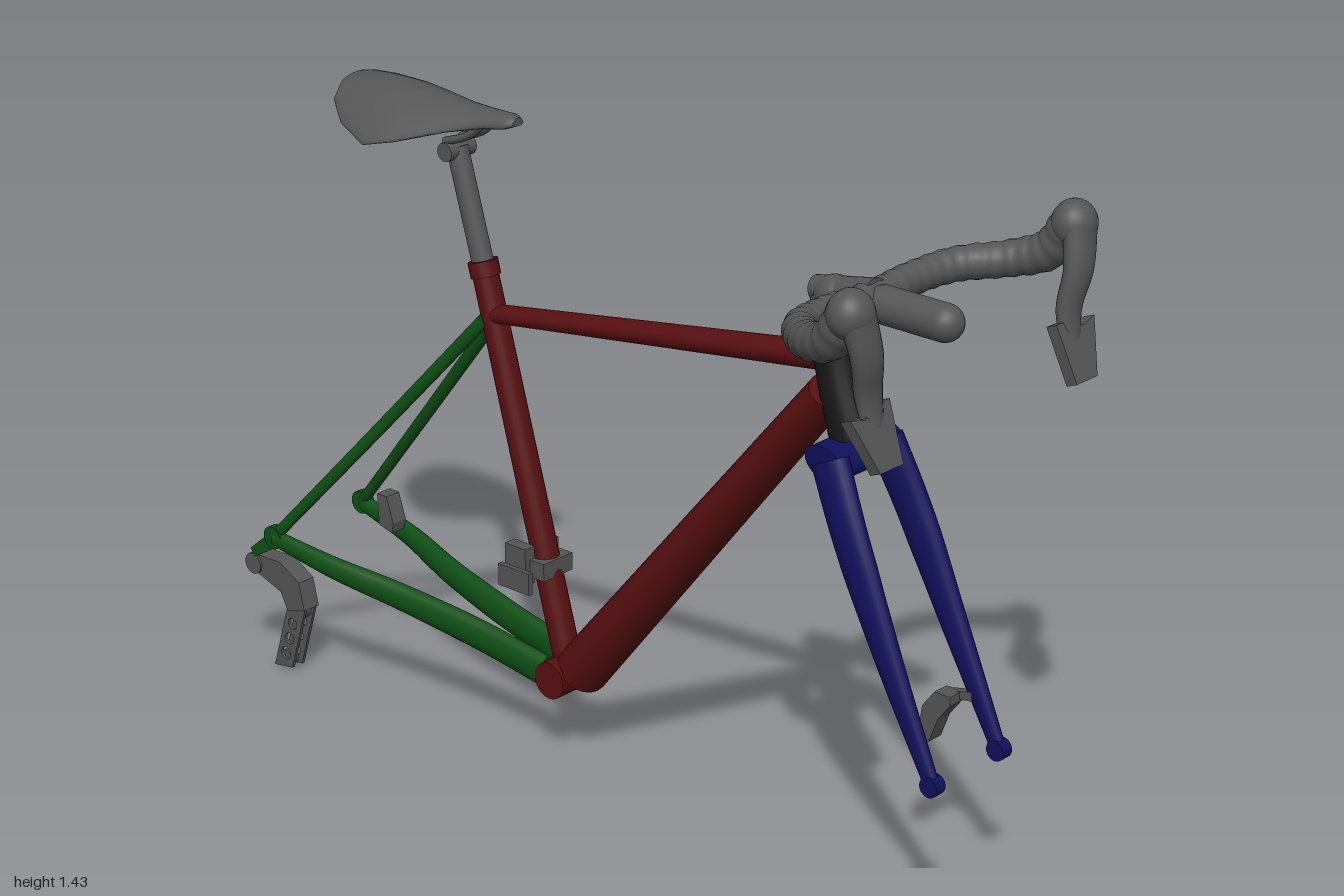
import * as THREE from 'three';

const mat = (name, color) => Object.assign(new THREE.MeshStandardMaterial({ color }), { name });
const V = (p) => new THREE.Vector3(...p);

// Closed solid through a list of rings, each running anticlockwise around the direction of travel
function loft(rings) {
  const n = rings[0].length, pos = [], idx = [];
  const add = (p) => pos.push(p.x, p.y, p.z);
  rings.forEach((r) => r.forEach(add));
  for (let i = 0; i < rings.length - 1; i++) {
    for (let j = 0; j < n; j++) {
      const a = i * n + j, b = i * n + (j + 1) % n;
      idx.push(a, b, a + n, b, b + n, a + n);
    }
  }
  [[rings[0], true], [rings[rings.length - 1], false]].forEach(([ring, start]) => {
    const base = pos.length / 3, c = new THREE.Vector3();
    ring.forEach((p) => { add(p); c.addScaledVector(p, 1 / n); });
    add(c);
    for (let j = 0; j < n; j++) {
      const a = base + j, b = base + (j + 1) % n;
      if (start) idx.push(base + n, b, a); else idx.push(base + n, a, b);
    }
  });
  const g = new THREE.BufferGeometry();
  g.setAttribute('position', new THREE.Float32BufferAttribute(pos, 3));
  g.setIndex(idx);
  g.computeVertexNormals();
  return g;
}

// Tapered oval tube along a curve; radii are [sideways, other way] at even steps
function sweep(points, radii, { ref = [1, 0, 0], steps = 24, sides = 20, ripple = 0 } = {}) {
  const curve = new THREE.CatmullRomCurve3(points.map(V));
  const rings = [];
  for (let i = 0; i <= steps; i++) {
    const u = i / steps, f = u * (radii.length - 1), k = Math.min(Math.floor(f), radii.length - 2);
    const wave = 1 + ripple * Math.sin(i * Math.PI / 2);
    const r = [0, 1].map((m) => THREE.MathUtils.lerp(radii[k][m], radii[k + 1][m], f - k) * wave);
    const c = curve.getPointAt(u), t = curve.getTangentAt(u);
    const s = V(ref).addScaledVector(t, -V(ref).dot(t)).normalize();
    const o = t.clone().cross(s);
    rings.push(Array.from({ length: sides }, (_, j) => {
      const a = j / sides * Math.PI * 2;
      return c.clone().addScaledVector(s, Math.cos(a) * r[0]).addScaledVector(o, Math.sin(a) * r[1]);
    }));
  }
  return loft(rings);
}

// Flat plate drawn in (z, y), centred on x, with round holes [z, y, radius]
function plate(points, x, thick, holes = []) {
  const shape = new THREE.Shape(points.map((p) => new THREE.Vector2(...p)));
  holes.forEach(([z, y, r]) => shape.holes.push(new THREE.Path().absarc(z, y, r, 0, Math.PI * 2, true)));
  const g = new THREE.ExtrudeGeometry(shape, { depth: thick, bevelEnabled: false, curveSegments: 8 });
  return g.translate(0, 0, -thick / 2).rotateY(-Math.PI / 2).translate(x, 0, 0);
}

const axle = (r, len, x, y, z) =>
  new THREE.CylinderGeometry(r, r, len, 24).rotateZ(Math.PI / 2).translate(x, y, z);
const box = (w, h, d, x, y, z) => new THREE.BoxGeometry(w, h, d).translate(x, y, z);
const ball = (rx, ry, rz, x, y, z) =>
  new THREE.SphereGeometry(1, 24, 16).scale(rx, ry, rz).translate(x, y, z);

export function createModel() {
  const red = mat('frame red', 0x570f11), green = mat('stay green', 0x0f4f15);
  const blue = mat('fork blue', 0x10105c), black = mat('head black', 0x161616);
  const grey = mat('component grey', 0x555555);
  const model = new THREE.Group();
  model.name = 'bicycleFrame';
  const add = (name, geometry, material) => {
    const m = new THREE.Mesh(geometry, material);
    m.name = name;
    model.add(m);
  };

  // Main frame tubes
  add('headTube', sweep([[0, 0.96, 0.66], [0, 1.07, 0.62], [0, 1.175, 0.59]],
    [[0.056, 0.052], [0.05, 0.047], [0.041, 0.043]]), black);
  add('downTube', sweep([[0, 1.04, 0.595], [0, 0.215, -0.075]], [[0.058, 0.042], [0.061, 0.05], [0.062, 0.058]]), red);
  add('topTube', sweep([[0, 1.107, 0.575], [0, 0.97, -0.33]], [[0.033, 0.029], [0.028, 0.02]]), red);
  add('seatTube', sweep([[0, 0.2, -0.11], [0, 1.075, -0.357]], [[0.032, 0.03], [0.03, 0.027]]), red);
  add('seatCollar', sweep([[0, 1.05, -0.35], [0, 1.083, -0.359]], [[0.034, 0.032], [0.034, 0.032]], { steps: 1 }), red);
  add('bottomBracket', axle(0.042, 0.136, 0, 0.2, -0.11), red);

  // Rear triangle and fork legs, mirrored
  for (const s of [-1, 1]) {
    add('chainStay', sweep([[s * 0.045, 0.205, -0.14], [s * 0.055, 0.237, -0.33], [s * 0.085, 0.273, -0.55],
      [s * 0.122, 0.303, -0.72], [s * 0.138, 0.33, -0.887]], [[0.022, 0.038], [0.022, 0.036], [0.02, 0.03], [0.014, 0.02]]), green);
    add('seatStay', sweep([[s * 0.022, 0.96, -0.335], [s * 0.075, 0.67, -0.59], [s * 0.138, 0.335, -0.887]],
      [[0.012, 0.015], [0.012, 0.013]]), green);
    add('rearDropout', axle(0.027, 0.02, s * 0.138, 0.333, -0.887), green);
    add('forkLeg', sweep([[s * 0.085, 0.935, 0.665], [s * 0.1, 0.8, 0.73], [s * 0.107, 0.56, 0.845], [s * 0.108, 0.335, 0.958]],
      [[0.028, 0.046], [0.025, 0.042], [0.02, 0.03], [0.013, 0.018]]), blue);
    add('forkTip', axle(0.022, 0.028, s * 0.108, 0.333, 0.96), blue);
  }
  add('derailleurHanger', plate([[-0.87, 0.34], [-0.9, 0.34], [-0.965, 0.285], [-0.955, 0.265], [-0.88, 0.31]], -0.135, 0.015), green);
  add('forkCrown', new THREE.CylinderGeometry(0.05, 0.05, 0.2, 32).rotateZ(Math.PI / 2)
    .scale(1, 0.68, 1).rotateX(0.3).translate(0, 0.93, 0.662), blue);

  // Seat post and saddle
  add('seatPost', sweep([[0, 1.07, -0.356], [0, 1.32, -0.43]], [[0.024, 0.024], [0.024, 0.024]]), grey);
  add('seatPostHead', axle(0.021, 0.076, 0, 1.315, -0.43), grey);
  for (const s of [-1, 1]) {
    add('saddleRail', sweep([[s * 0.015, 1.4, -0.33], [s * 0.02, 1.36, -0.375], [s * 0.025, 1.335, -0.44]],
      [[0.011, 0.009], [0.011, 0.009]], { steps: 8, sides: 10 }), grey);
  }
  // Stations: z, half width, top height, droop of the edges, thickness
  const saddle = [[-0.725, 0.05, 1.425, 0.008, 0.012], [-0.705, 0.092, 1.429, 0.028, 0.03], [-0.65, 0.126, 1.434, 0.06, 0.04],
    [-0.57, 0.142, 1.435, 0.088, 0.042], [-0.5, 0.12, 1.43, 0.066, 0.042], [-0.4, 0.065, 1.424, 0.03, 0.04],
    [-0.32, 0.037, 1.424, 0.012, 0.035], [-0.27, 0.03, 1.425, 0.008, 0.03], [-0.252, 0.016, 1.42, 0.004, 0.018]];
  add('saddle', loft(saddle.map(([z, w, top, droop, t]) => Array.from({ length: 32 }, (_, j) => {
    const a = j / 16 * Math.PI, u = Math.cos(a);
    return new THREE.Vector3(u * w, top - droop * u * u + t / 2 * (Math.sin(a) - 1), z);
  }))), grey);

  // Stem, out-front mount and drop handlebar
  add('steererSpacer', sweep([[0, 1.16, 0.594], [0, 1.24, 0.572]], [[0.03, 0.03], [0.03, 0.03]]), grey);
  add('stemClamp', ball(0.04, 0.042, 0.048, 0, 1.24, 0.602), grey);
  add('stem', sweep([[0, 1.245, 0.55], [0, 1.256, 0.7]], [[0.025, 0.025], [0.042, 0.042]]), grey);
  add('frontMount', new THREE.CapsuleGeometry(0.039, 0.15, 8, 20).rotateX(Math.PI / 2).translate(0, 1.25, 0.795), grey);
  const half = [[0.14, 1.26, 0.685], [0.24, 1.268, 0.712], [0.31, 1.28, 0.79], [0.338, 1.31, 0.865], [0.345, 1.375, 0.912]];
  const mirrored = half.map(([x, y, z]) => [-x, y, z]).reverse();
  add('handlebar', sweep([...mirrored, [0, 1.256, 0.69], ...half],
    [[0.043, 0.043], [0.037, 0.037], [0.034, 0.034], [0.034, 0.034], [0.034, 0.034], [0.037, 0.037], [0.043, 0.043]],
    { ref: [0, 1, -1], steps: 120, ripple: 0.035 }), grey);
  for (const s of [-1, 1]) {
    add('hood', ball(0.049, 0.05, 0.046, s * 0.345, 1.373, 0.915), grey);
    add('leverBody', sweep([[s * 0.343, 1.37, 0.93], [s * 0.328, 1.29, 0.942], [s * 0.312, 1.21, 0.935], [s * 0.308, 1.13, 0.95]],
      [[0.042, 0.03], [0.038, 0.026], [0.033, 0.022], [0.025, 0.013]]), grey);
    // Shifting paddle leaning forward toward its tip
    const paddle = new THREE.Shape([[-0.058, 0.01], [-0.02, 0], [0.03, 0.02], [0.062, 0.02], [0.05, -0.105], [-0.018, -0.105]]
      .map(([x, y]) => new THREE.Vector2(x, y)));
    const g = new THREE.ExtrudeGeometry(paddle, { depth: 0.026, bevelEnabled: false }).translate(0, 0, -0.013);
    if (s > 0) g.rotateY(Math.PI);
    add('shiftPaddle', g.rotateX(-0.38).translate(s * 0.322, 1.168, 0.94), grey);
  }

  // Rear derailleur
  add('derailleurBody', plate([[-0.985, 0.236], [-0.96, 0.27], [-0.875, 0.273], [-0.815, 0.24], [-0.8, 0.175],
    [-0.855, 0.16], [-0.876, 0.2], [-0.935, 0.22]], -0.115, 0.045), grey);
  add('derailleurPivot', axle(0.025, 0.055, -0.115, 0.247, -0.96), grey);
  for (const x of [-0.125, -0.095]) {
    add('derailleurCage', plate([[-0.805, 0.18], [-0.865, 0.165], [-0.913, 0.005], [-0.855, 0.014]], x, 0.007,
      [[-0.85, 0.125, 0.014], [-0.862, 0.085, 0.014], [-0.875, 0.045, 0.015]]), grey);
  }
  add('guidePulley', axle(0.022, 0.022, -0.11, 0.16, -0.84), grey);
  add('tensionPulley', axle(0.019, 0.022, -0.11, 0.028, -0.883), grey);

  // Front derailleur around the seat tube
  add('frontDerailleurClamp', box(0.09, 0.04, 0.08, 0, 0.435, -0.185), grey);
  add('frontDerailleurArm', box(0.03, 0.085, 0.06, -0.045, 0.44, -0.215), grey);
  add('frontDerailleurCage', box(0.012, 0.05, 0.09, -0.065, 0.41, -0.21), grey);
  add('frontDerailleurLink', box(0.025, 0.09, 0.04, 0.042, 0.43, -0.215), grey);

  // Disc brake calipers on the left side
  add('frontCaliper', plate([[0.87, 0.435], [0.83, 0.435], [0.8, 0.395], [0.79, 0.31], [0.82, 0.32], [0.84, 0.375], [0.87, 0.415]], 0.08, 0.04), grey);
  add('frontCaliperMount', plate([[0.9, 0.445], [0.84, 0.43], [0.84, 0.415], [0.9, 0.425]], 0.1, 0.02), grey);
  add('rearCaliper', plate([[-0.735, 0.41], [-0.715, 0.35], [-0.72, 0.325], [-0.76, 0.335], [-0.765, 0.41]], 0.085, 0.04), grey);
  return model;
}
